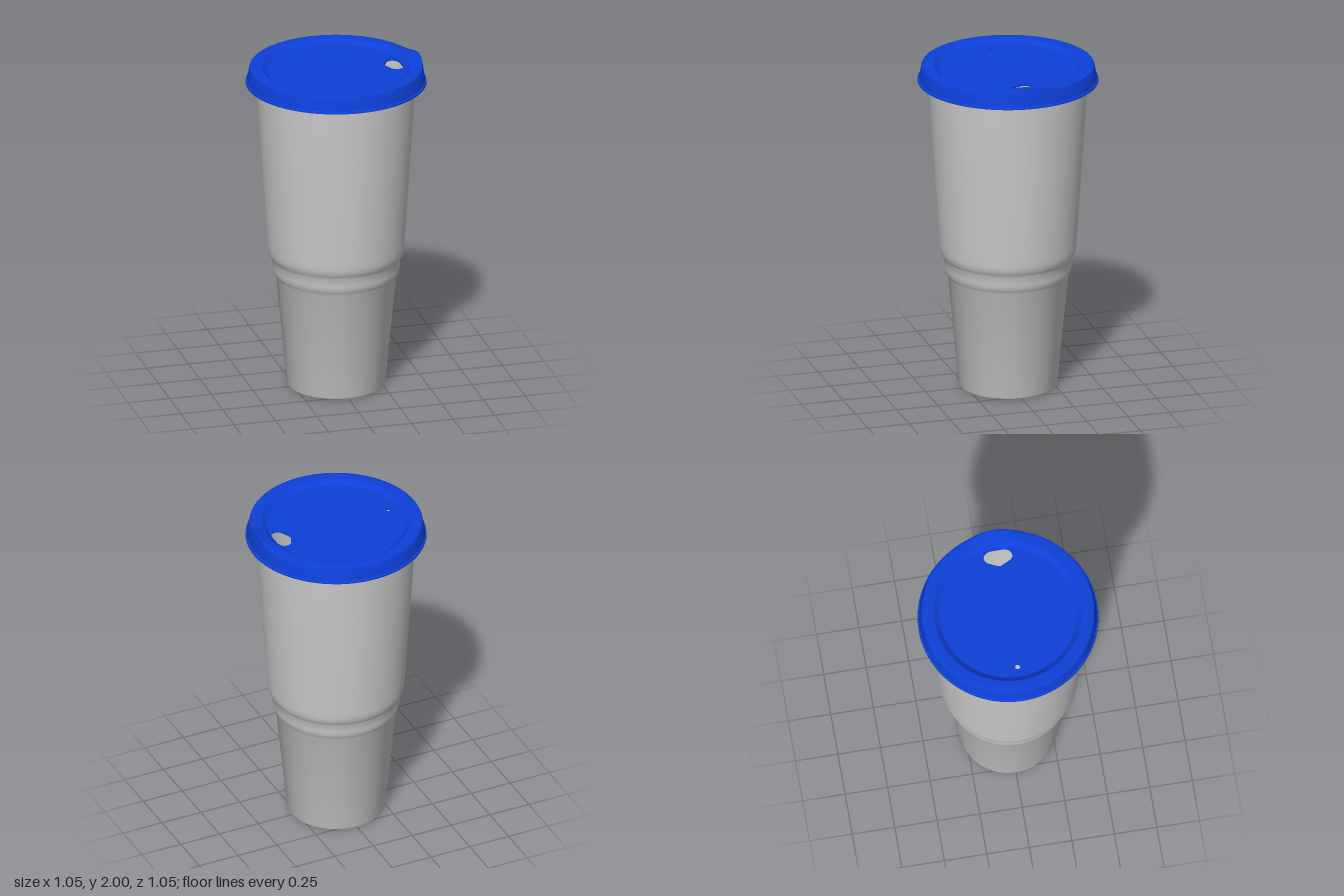
import * as THREE from 'three';
import { toCreasedNormals } from 'three/addons/utils/BufferGeometryUtils.js';

const SEGMENTS = 96;
const PANEL_RADIUS = 0.4;
const PANEL_TOP = 1.945;

const cupMaterial = new THREE.MeshStandardMaterial({ color: 0xcccccc });
const lidMaterial = new THREE.MeshStandardMaterial({ color: 0x0d40d8 });

function lathe(points) {
  // start at +x so that ring and panel corners coincide
  return new THREE.LatheGeometry(points.map(([r, y]) => new THREE.Vector2(r, y)), SEGMENTS);
}

function addMesh(group, name, geometry, material, crease = 0.5) {
  const mesh = new THREE.Mesh(toCreasedNormals(geometry, crease), material);
  mesh.name = name;
  group.add(mesh);
}

// Thin tapered wall with a stepped waist, outside and inside
function cupGeometry() {
  const outside = [
    [0.275, 0], [0.282, 0.004], [0.286, 0.014], [0.35, 0.675],
    [0.359, 0.69], [0.367, 0.71], [0.371, 0.735], [0.373, 0.785],
    [0.382, 0.8], [0.391, 0.82], [0.396, 0.845], [0.399, 0.875],
    [0.463, 1.88], [0.466, 1.93],
  ];
  const wall = 0.012;
  const inside = outside.slice(2).reverse().map(([r, y]) => [r - wall, Math.max(y, 0.02)]);
  return lathe([[0, 0], ...outside, ...inside, [0, 0.02]]);
}

// Skirt, rim and inner slope, with the rim swelling up at the drinking side
function rimGeometry() {
  const geometry = lathe([
    [0.514, 1.872], [0.525, 1.872], [0.524, 1.882], [0.516, 1.886],
    [0.503, 1.96], [0.5, 1.967], [0.493, 1.97], [0.475, 1.97], [0.455, 1.97], [0.432, 1.97],
    [PANEL_RADIUS, PANEL_TOP], [PANEL_RADIUS, PANEL_TOP - 0.012],
    [0.435, 1.955], [0.488, 1.955], [0.503, 1.886], [0.514, 1.872],
  ]);
  const p = geometry.attributes.position;
  for (let i = 0; i < p.count; i++) {
    const x = p.getX(i), y = p.getY(i), z = p.getZ(i);
    if (x < 0 || y < 1.958 || Math.abs(z) > 0.2) continue;
    const across = Math.cos((z / 0.2) * Math.PI / 2) ** 2;
    const outward = THREE.MathUtils.clamp((Math.hypot(x, z) - 0.41) / 0.08, 0, 1);
    p.setY(i, y + 0.03 * across * outward);
  }
  return geometry;
}

// Flat recessed disc with the drinking hole and the vent
function panelGeometry() {
  const shape = new THREE.Shape();
  for (let i = 0; i < SEGMENTS; i++) {
    const a = (i / SEGMENTS) * Math.PI * 2;
    const x = PANEL_RADIUS * Math.cos(a), y = PANEL_RADIUS * Math.sin(a);
    if (i) shape.lineTo(x, y);
    else shape.moveTo(x, y);
  }
  shape.closePath();

  const sip = new THREE.Path();
  sip.moveTo(0.291, 0);
  sip.quadraticCurveTo(0.293, 0.012, 0.315, 0.055);
  sip.quadraticCurveTo(0.327, 0.083, 0.35, 0.084);
  sip.bezierCurveTo(0.378, 0.084, 0.394, 0.062, 0.394, 0.03);
  sip.lineTo(0.394, -0.03);
  sip.bezierCurveTo(0.394, -0.062, 0.378, -0.084, 0.35, -0.084);
  sip.quadraticCurveTo(0.327, -0.083, 0.315, -0.055);
  sip.quadraticCurveTo(0.293, -0.012, 0.291, 0);

  const vent = new THREE.Path();
  vent.absarc(-0.337, 0, 0.015, 0, Math.PI * 2, true);
  shape.holes.push(sip, vent);

  const depth = 0.012;
  const geometry = new THREE.ExtrudeGeometry(shape, { depth, bevelEnabled: false, curveSegments: 12 });
  geometry.rotateX(-Math.PI / 2);
  geometry.translate(0, PANEL_TOP - depth, 0);
  return geometry;
}

export function createModel() {
  const model = new THREE.Group();
  model.name = 'travelCup';

  addMesh(model, 'cupBody', cupGeometry(), cupMaterial, 0.6);

  const lid = new THREE.Group();
  lid.name = 'lid';
  addMesh(lid, 'lidRim', rimGeometry(), lidMaterial);
  addMesh(lid, 'lidPanel', panelGeometry(), lidMaterial);
  model.add(lid);

  return model;
}
